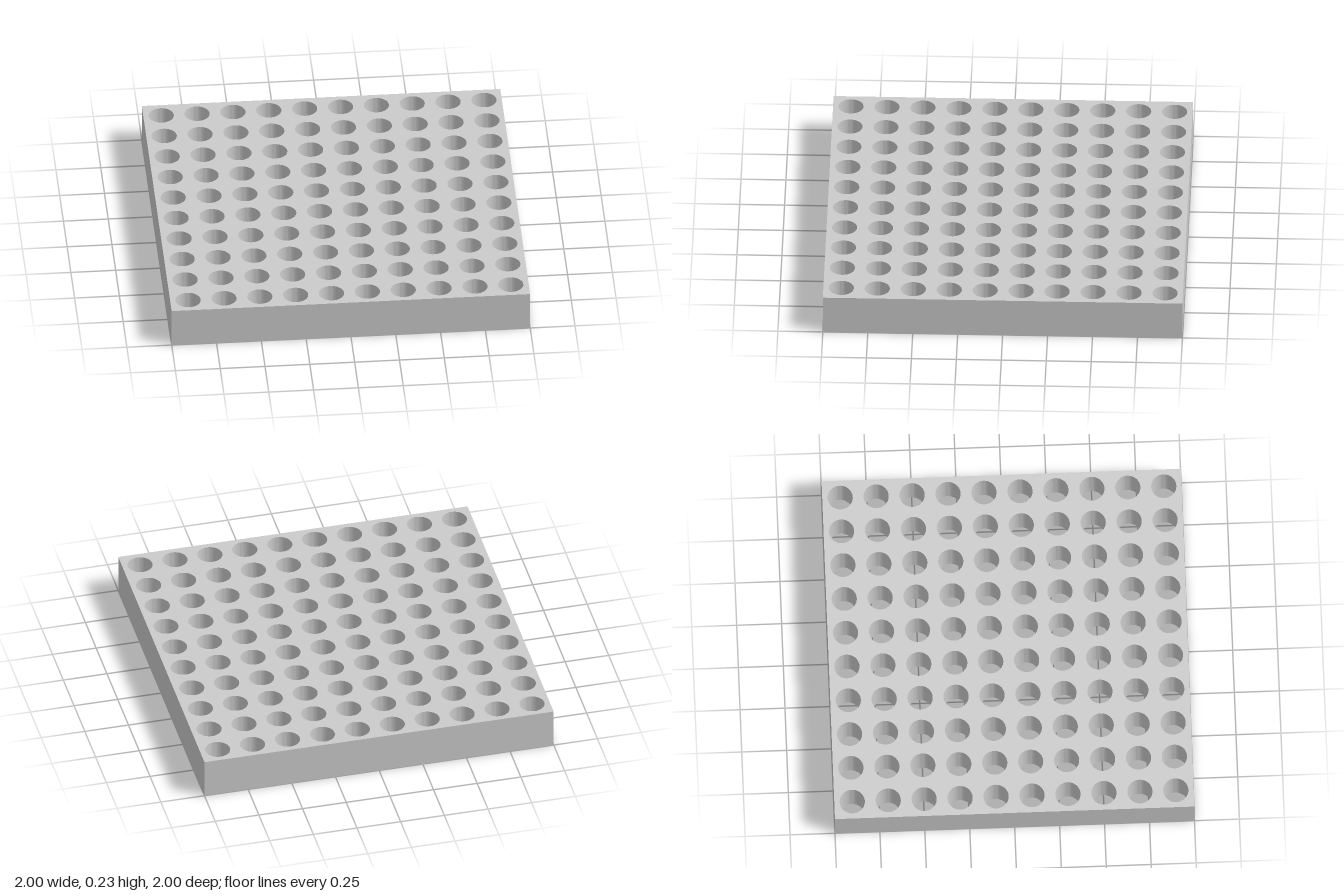
import * as THREE from 'three';
import { toCreasedNormals } from 'three/addons/utils/BufferGeometryUtils.js';

const COUNT = 10;        // cells per side
const CELL = 0.2;        // cell width
const HEIGHT = 0.23;
const HOLE_RADIUS = 0.07;

// One square block with a round hole straight through it
function blockGeometry() {
  const h = CELL / 2;
  const shape = new THREE.Shape();
  shape.moveTo(-h, -h);
  shape.lineTo(h, -h);
  shape.lineTo(h, h);
  shape.lineTo(-h, h);
  shape.closePath();
  const hole = new THREE.Path();
  hole.absarc(0, 0, HOLE_RADIUS, 0, Math.PI * 2, true);
  shape.holes.push(hole);
  const geometry = new THREE.ExtrudeGeometry(shape, {
    depth: HEIGHT, bevelEnabled: false, curveSegments: 48,
  });
  geometry.rotateX(-Math.PI / 2);
  return toCreasedNormals(geometry, Math.PI / 6);
}

export function createModel() {
  const model = new THREE.Group();
  model.name = 'perforatedRack';
  const material = new THREE.MeshStandardMaterial({ color: 0xcccccc });
  const geometry = blockGeometry();
  const offset = (i) => (i - (COUNT - 1) / 2) * CELL;

  // Square grid of blocks, side by side
  for (let row = 0; row < COUNT; row++) {
    const rowGroup = new THREE.Group();
    rowGroup.name = `row${row + 1}`;
    rowGroup.position.z = offset(row);
    for (let col = 0; col < COUNT; col++) {
      const block = new THREE.Mesh(geometry, material);
      block.name = `holeBlock${col + 1}`;
      block.position.x = offset(col);
      rowGroup.add(block);
    }
    model.add(rowGroup);
  }
  return model;
}
